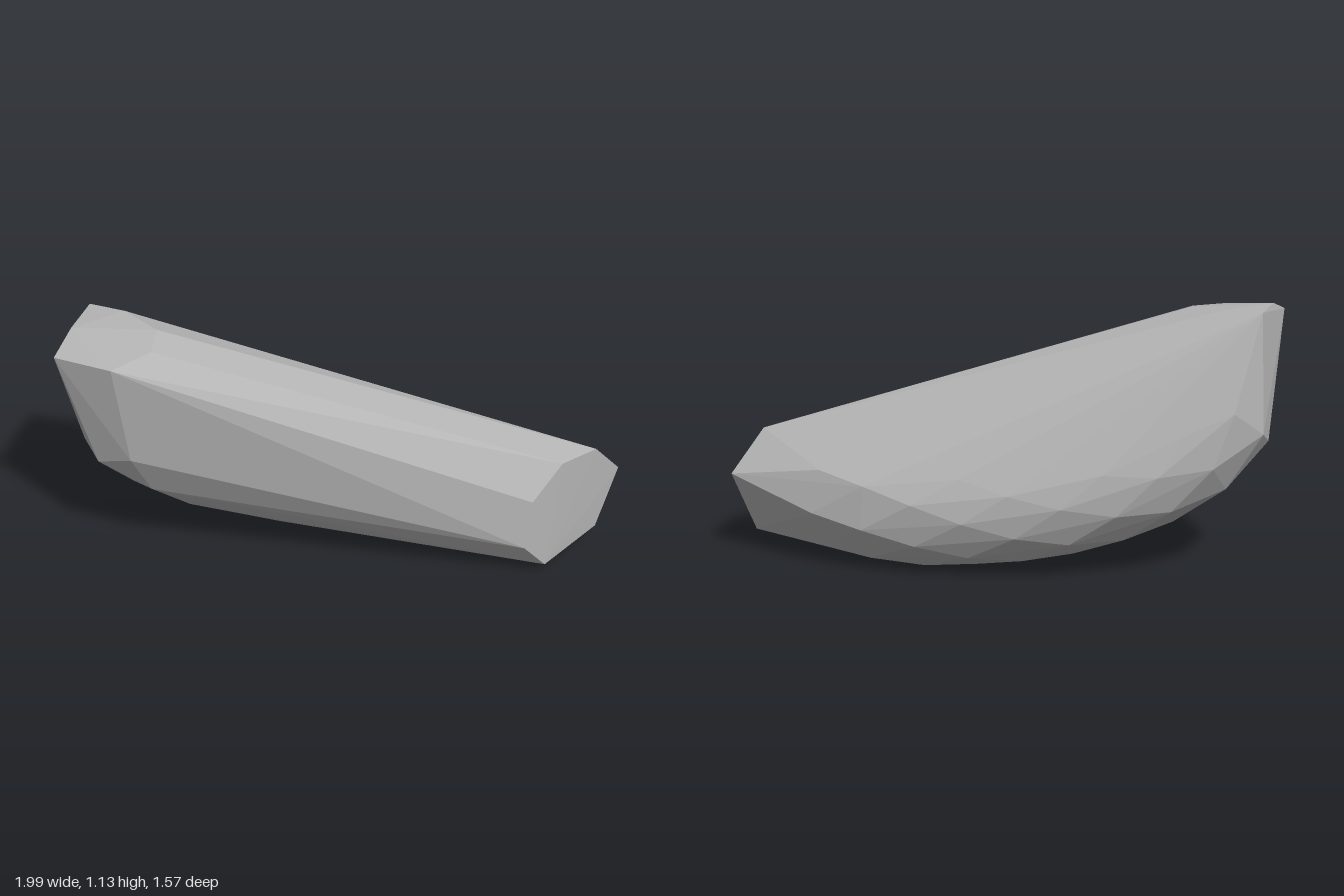
import * as THREE from 'three';
import { ConvexGeometry } from 'three/addons/geometries/ConvexGeometry.js';

const v = (p) => new THREE.Vector3(...p);

export function createModel() {
  const group = new THREE.Group();
  const stone = new THREE.MeshStandardMaterial({ color: 0xb4b4b4 });

  // Seven-sided flat ends
  const frontEnd = [
    [0.46, 0.43, 0.79], [0.62, 0.56, 0.795], [0.83, 0.54, 0.79], [1.0, 0.36, 0.78],
    [0.89, 0.09, 0.775], [0.56, 0.05, 0.795], [0.43, 0.2, 0.79],
  ];
  const topEnd = [
    [-0.99, 1.08, -0.55], [-0.85, 1.13, -0.63], [-0.68, 1.125, -0.75], [-0.6, 1.125, -0.61],
    [-0.57, 1.11, -0.42], [-0.67, 1.09, -0.32], [-0.87, 1.08, -0.32],
  ];
  const points = [...frontEnd, ...topEnd].map(v);

  // Staggered rings along the bent spine shape the rounded back and belly
  const spine = new THREE.CatmullRomCurve3([
    [0.69, 0.31, 0.79], [0.52, 0.27, 0.4], [0.34, 0.27, 0.16], [0.06, 0.31, -0.11],
    [-0.24, 0.4, -0.33], [-0.52, 0.56, -0.48], [-0.68, 0.77, -0.53], [-0.73, 0.98, -0.53],
  ].map(v));
  const rings = 11, sides = 9, radius = 0.275;
  const up = new THREE.Vector3(0.3, 0.6, 0.74).normalize();
  for (let i = 1; i < rings; i++) {
    const t = 0.05 + 0.9 * i / rings;
    const centre = spine.getPointAt(t);
    const tangent = spine.getTangentAt(t);
    const a = up.clone().addScaledVector(tangent, -up.dot(tangent)).normalize();
    const b = new THREE.Vector3().crossVectors(tangent, a);
    for (let j = 0; j < sides; j++) {
      const angle = (j + (i % 2) / 2) * 2 * Math.PI / sides;
      const p = centre.clone()
        .addScaledVector(a, radius * Math.cos(angle))
        .addScaledVector(b, radius * Math.sin(angle));
      p.y = Math.max(p.y, 0);
      p.x = Math.max(p.x, -1);
      p.z = THREE.MathUtils.clamp(p.z, -0.8, 0.78);
      points.push(p);
    }
  }

  // One faceted convex body wrapped around the rings
  const body = new THREE.Mesh(new ConvexGeometry(points), stone);
  body.name = 'facetedBody';
  group.add(body);
  return group;
}
